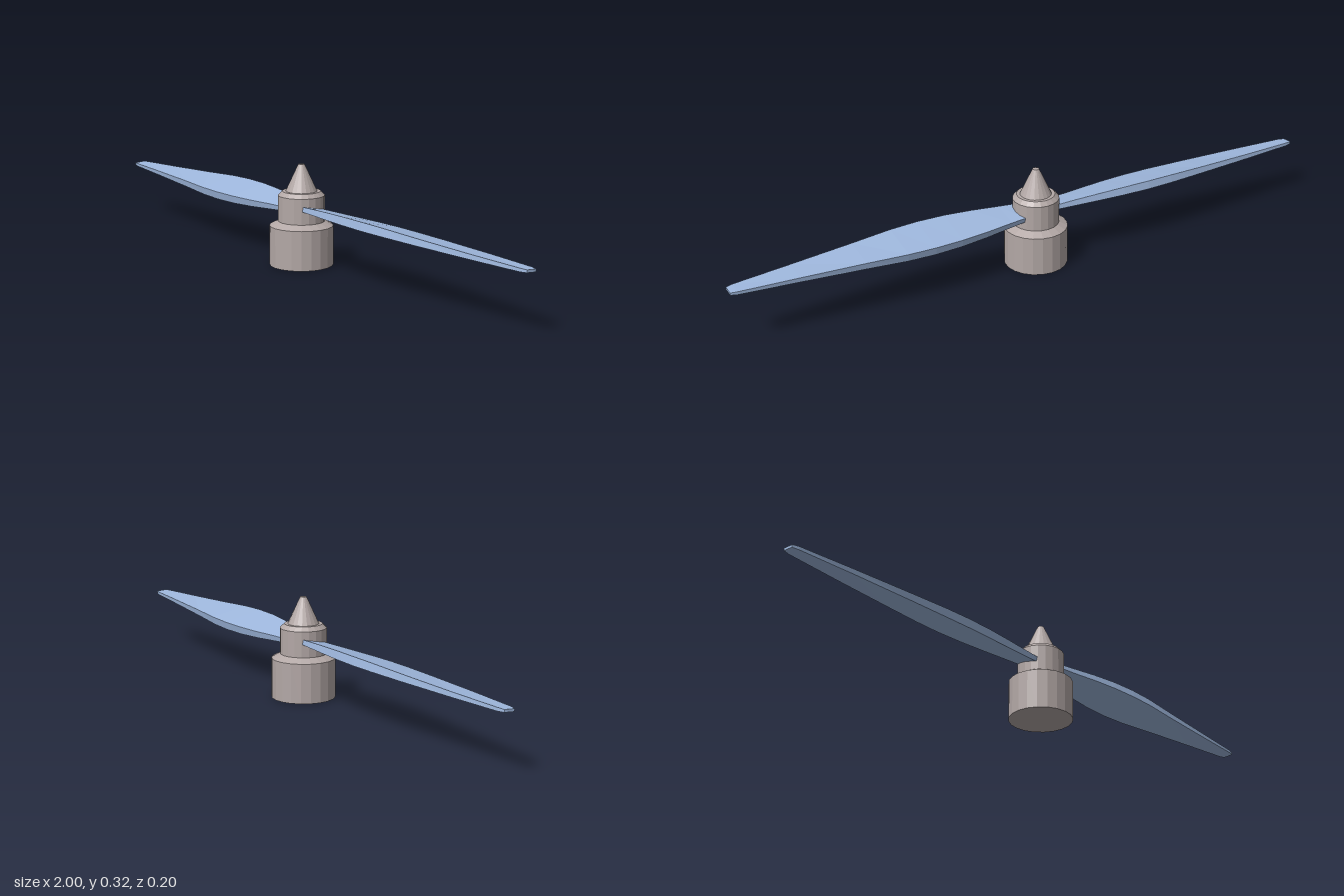
import * as THREE from 'three';

const hubMaterial = new THREE.MeshStandardMaterial({ color: 0xb3a8a6, flatShading: true });
const bladeMaterial = new THREE.MeshStandardMaterial({ color: 0x9fb8de, flatShading: true });

// Faceted turned part from [radius, height] points, bottom to top
function turned(name, points) {
  const profile = points.map(([r, y]) => new THREE.Vector2(r, y));
  const mesh = new THREE.Mesh(new THREE.LatheGeometry(profile, 20), hubMaterial);
  mesh.name = name;
  return mesh;
}

// Rectangular sections lofted along x: [x, half chord, thickness, pitch in degrees]
const sections = [
  [0.06, 0.04, 0.015, 11],
  [0.11, 0.045, 0.018, 12],
  [0.2, 0.056, 0.022, 13],
  [0.29, 0.064, 0.025, 13],
  [0.38, 0.067, 0.026, 12.5],
  [0.47, 0.064, 0.025, 12],
  [0.6, 0.053, 0.021, 10],
  [0.8, 0.037, 0.015, 7],
  [0.98, 0.022, 0.01, 4],
  [1.0, 0.017, 0.008, 4],
];

function bladeGeometry() {
  const positions = [];
  const index = [];
  for (const [x, c, t, degrees] of sections) {
    const a = THREE.MathUtils.degToRad(degrees);
    // Corners run top front, top back, bottom back, bottom front
    for (const [u, v] of [[c, t / 2], [-c, t / 2], [-c, -t / 2], [c, -t / 2]]) {
      positions.push(x, u * Math.sin(a) + v * Math.cos(a), u * Math.cos(a) - v * Math.sin(a));
    }
  }
  for (let s = 0; s < sections.length - 1; s++) {
    for (let k = 0; k < 4; k++) {
      const a = s * 4 + k;
      const b = s * 4 + (k + 1) % 4;
      index.push(a, a + 4, b, b, a + 4, b + 4);
    }
  }
  // Root and tip caps
  const e = (sections.length - 1) * 4;
  index.push(0, 1, 2, 0, 2, 3, e, e + 2, e + 1, e, e + 3, e + 2);
  const geometry = new THREE.BufferGeometry();
  geometry.setAttribute('position', new THREE.Float32BufferAttribute(positions, 3));
  geometry.setIndex(index);
  const flat = geometry.toNonIndexed();
  flat.computeVertexNormals();
  return flat;
}

export function createModel() {
  const model = new THREE.Group();
  model.name = 'propeller';

  // Motor body, hub collar and pointed spinner
  model.add(
    turned('motorBody', [[0, 0], [0.1, 0], [0.1, 0.125], [0.073, 0.139], [0, 0.139]]),
    turned('hubCollar', [[0.073, 0.139], [0.073, 0.22], [0.06, 0.233], [0, 0.233]]),
    turned('spinner', [[0.049, 0.233], [0.01, 0.317], [0, 0.317]]),
  );

  // Two blades, half a turn apart
  const geometry = bladeGeometry();
  ['leftBlade', 'rightBlade'].forEach((name, i) => {
    const blade = new THREE.Mesh(geometry, bladeMaterial);
    blade.name = name;
    blade.position.y = 0.18;
    blade.rotation.y = i * Math.PI;
    model.add(blade);
  });
  return model;
}
